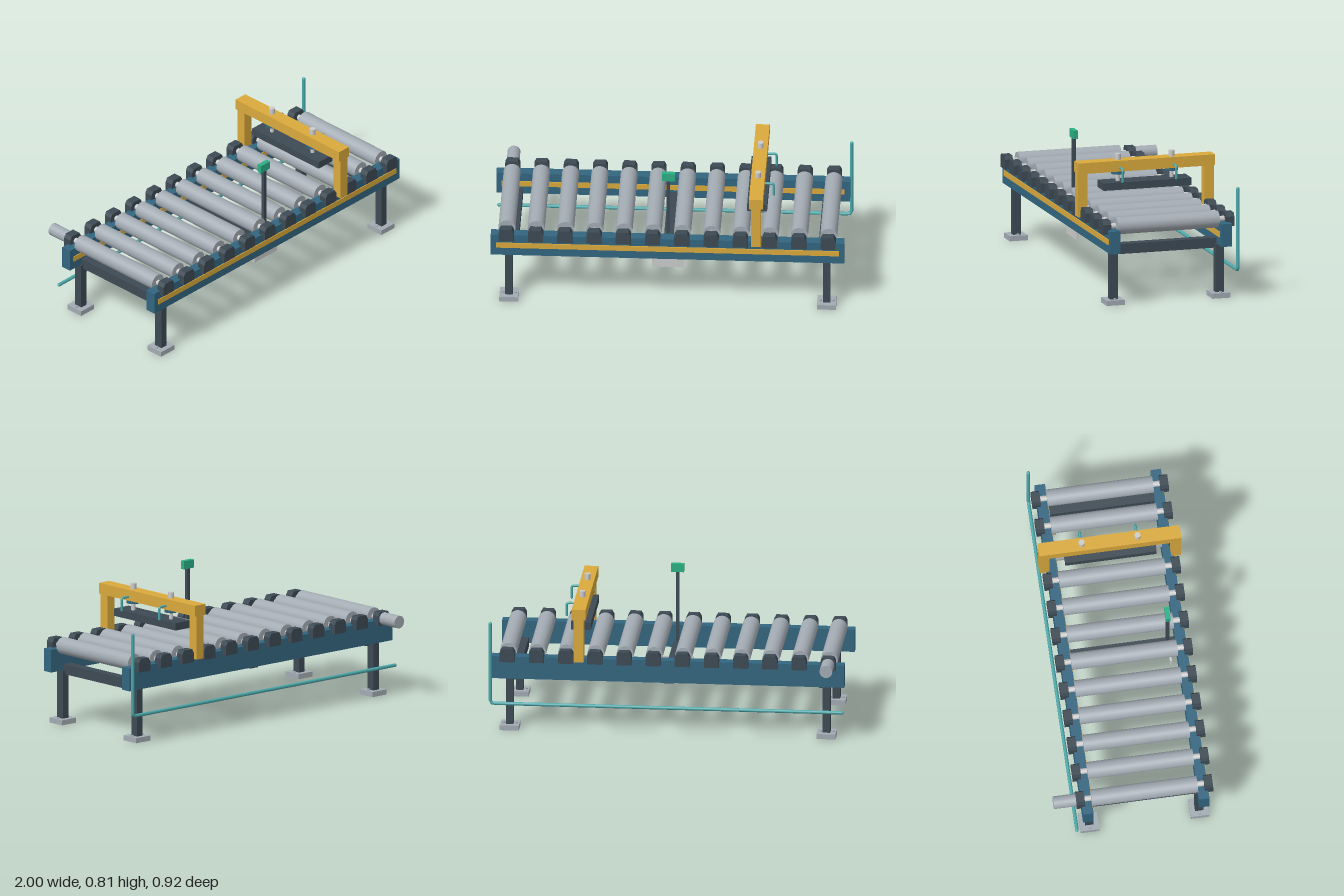
import * as THREE from 'three';

const paint = (color) => new THREE.MeshStandardMaterial({ color });

export function createModel() {
  const root = new THREE.Group();
  const blue = paint(0x336680), dark = paint(0x3d4a54), steel = paint(0xa3abb3);
  const yellow = paint(0xd9a93c), teal = paint(0x4ba8aa), green = paint(0x2bb084), pale = paint(0xc4c8c8);

  function add(name, geometry, material, x = 0, y = 0, z = 0) {
    const mesh = new THREE.Mesh(geometry, material);
    mesh.name = name;
    mesh.position.set(x, y, z);
    root.add(mesh);
    return mesh;
  }
  // box given by its limits on each axis
  const box = (name, mat, [x0, x1], [y0, y1], [z0, z1]) =>
    add(name, new THREE.BoxGeometry(x1 - x0, y1 - y0, z1 - z0), mat, (x0 + x1) / 2, (y0 + y1) / 2, (z0 + z1) / 2);
  const around = (c, w) => [c - w / 2, c + w / 2];
  // cylinder along z
  const rodZ = (name, mat, r, x, y, z0, z1) =>
    add(name, new THREE.CylinderGeometry(r, r, z1 - z0, 28).rotateX(Math.PI / 2), mat, x, y, (z0 + z1) / 2);
  // cylinder along y
  const rodY = (name, mat, r, x, y0, y1, z) =>
    add(name, new THREE.CylinderGeometry(r, r, y1 - y0, 24), mat, x, (y0 + y1) / 2, z);
  // pipe with rounded corners through a list of points
  function pipe(name, points, r, bend) {
    const p = points.map((a) => new THREE.Vector3(...a));
    const path = new THREE.CurvePath();
    let start = p[0];
    for (let i = 1; i < p.length - 1; i++) {
      const a = p[i].clone().add(p[i - 1].clone().sub(p[i]).setLength(bend));
      const b = p[i].clone().add(p[i + 1].clone().sub(p[i]).setLength(bend));
      path.add(new THREE.LineCurve3(start, a));
      path.add(new THREE.QuadraticBezierCurve3(a, p[i], b));
      start = b;
    }
    path.add(new THREE.LineCurve3(start, p[p.length - 1]));
    add(name, new THREE.TubeGeometry(path, 120, r, 12), teal);
    for (const end of [p[0], p[p.length - 1]])
      add(name + 'End', new THREE.SphereGeometry(r, 12, 8), teal, end.x, end.y, end.z);
  }

  // side rails with a yellow strip on the front face of each
  for (const z of [0.384, -0.272]) {
    box('sideRail', blue, [-1, 0.985], [0.305, 0.435], around(z, 0.06));
    box('railStrip', yellow, [-0.97, 0.955], [0.354, 0.386], [z + 0.029, z + 0.035]);
  }

  // legs with foot plates and bolts
  for (const x of [-0.898, 0.885]) {
    for (const z of [0.367, -0.255]) {
      box('leg', dark, around(x, 0.042), [0, 0.306], around(z, 0.047));
      box('footPlate', steel, around(x, 0.107), [0.001, 0.03], around(z, 0.106));
      for (const s of [-1, 1]) rodY('footBolt', steel, 0.009, x + s * 0.036, 0.028, 0.037, z);
    }
  }

  // cross beams between the rails
  for (const x of [-0.878, -0.008, 0.862])
    box('crossBeam', dark, around(x, 0.056), [0.283, 0.34], [-0.245, 0.356]);

  // bearing housing with chamfered top corners
  const outline = [[-0.042, 0.41], [0.042, 0.41], [0.042, 0.465], [0.03, 0.486], [-0.03, 0.486], [-0.042, 0.465]];
  const housing = new THREE.ExtrudeGeometry(
    new THREE.Shape(outline.map((p) => new THREE.Vector2(...p))), { depth: 0.048, bevelEnabled: false });

  // rollers, shafts and bearings
  for (let i = 0; i < 12; i++) {
    const x = -0.911 + i * 0.1642;
    rodZ('roller', steel, 0.048, x, 0.448, -0.245, 0.356);
    rodZ('rollerShaft', pale, 0.016, x, 0.448, -0.3, 0.41);
    add('bearingHousing', housing, dark, x, 0, 0.394);
    add('bearingHousing', housing, dark, x, 0, -0.331);
  }
  rodZ('driveMotor', steel, 0.036, -0.911, 0.447, -0.459, -0.325);

  // gantry
  const gx = 0.491;
  box('gantryBeam', yellow, around(gx, 0.078), [0.674, 0.736], [-0.348, 0.457]);
  for (const z of [0.428, -0.318]) box('gantryPost', yellow, around(gx, 0.055), [0.425, 0.675], around(z, 0.056));
  box('pressBar', dark, around(gx, 0.112), [0.573, 0.615], [-0.203, 0.314]);
  for (const z of [0.213, -0.103]) {
    rodY('pressCylinder', pale, 0.017, gx, 0.73, 0.77, z);
    rodY('cylinderFlange', blue, 0.038, gx, 0.656, 0.675, z);
    rodY('pressRod', pale, 0.012, gx, 0.61, 0.66, z);
    pipe('airHose', [[0.525, 0.696, z], [0.58, 0.696, z], [0.58, 0.625, z]], 0.007, 0.015);
  }

  // sensor on its pole
  box('sensorPole', dark, around(-0.008, 0.02), [0.355, 0.766], around(0.313, 0.02));
  box('sensorHead', green, around(-0.007, 0.073), [0.764, 0.811], around(0.313, 0.027));

  // hanging plate and air line
  box('hangingPlate', pale, [-0.097, 0.085], [0.198, 0.261], [0.316, 0.327]);
  pipe('airLine', [[-0.99, 0.168, -0.335], [0.99, 0.168, -0.335], [0.99, 0.635, -0.335]], 0.01, 0.02);

  return root;
}
